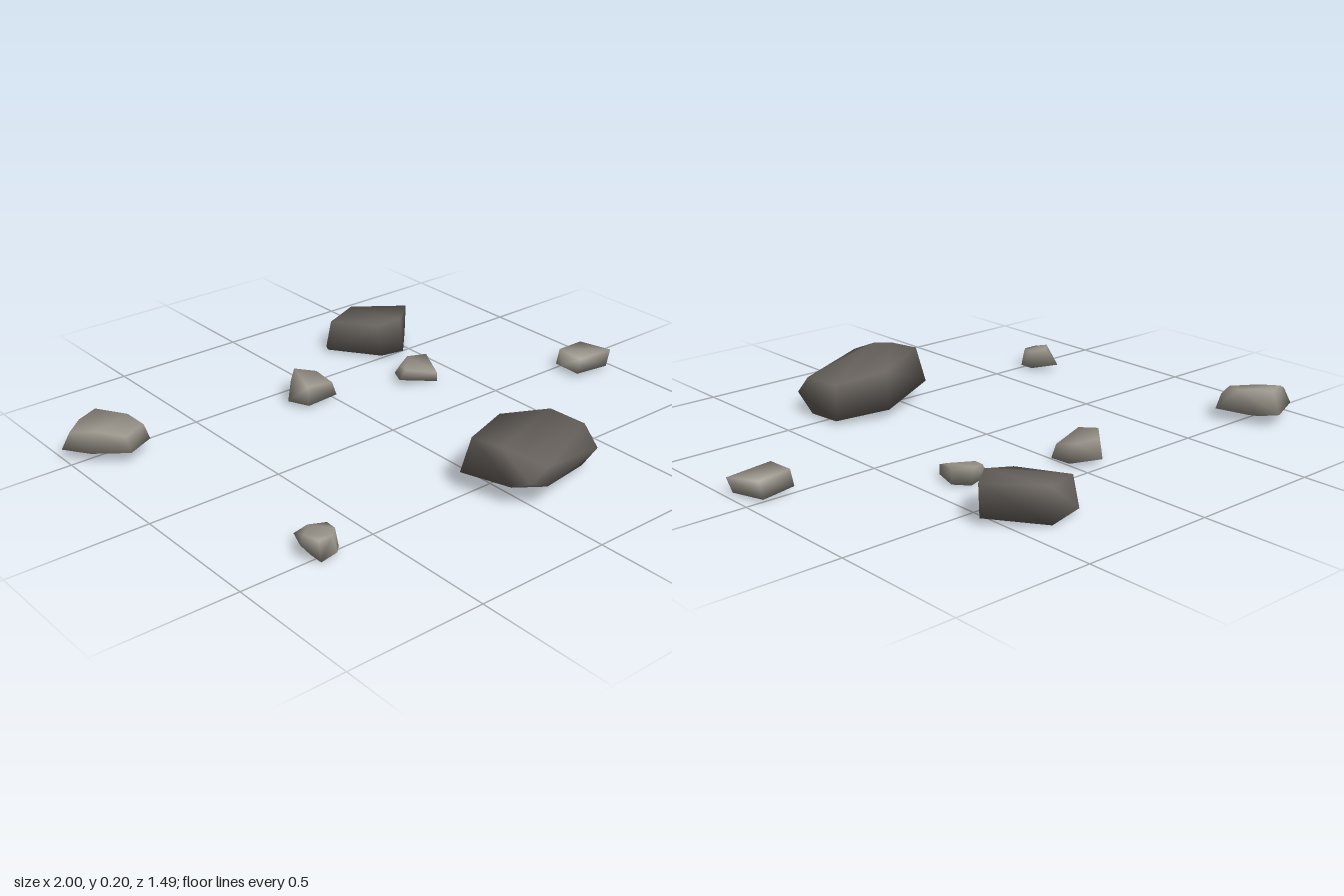
import * as THREE from 'three';
import { ConvexGeometry } from 'three/addons/geometries/ConvexGeometry.js';
import { mergeVertices } from 'three/addons/utils/BufferGeometryUtils.js';

const darkStone = new THREE.MeshStandardMaterial({ color: 0x65605b });
const lightStone = new THREE.MeshStandardMaterial({ color: 0x969187 });
darkStone.name = 'darkStone';
lightStone.name = 'lightStone';

// A chipped rock: the smooth-shaded hull around its corner points [x, y, z]
function rock(name, material, corners) {
  const hull = new ConvexGeometry(corners.map((c) => new THREE.Vector3(...c)));
  hull.deleteAttribute('normal');
  const geometry = mergeVertices(hull, 1e-4);
  geometry.computeVertexNormals();
  const mesh = new THREE.Mesh(geometry, material);
  mesh.name = name;
  return mesh;
}

export function createModel() {
  const group = new THREE.Group();
  group.name = 'scatteredRocks';

  group.add(
    // Large slab, tilted down towards +x
    rock('largeSlab', darkStone, [
      // upper corners
      [-0.08, 0.2, 0.49], [0.14, 0.175, 0.39], [0.335, 0.152, 0.44], [0.345, 0.15, 0.59],
      [-0.01, 0.195, 0.66], [-0.055, 0.2, 0.6], [0.02, 0.16, 0.74],
      // lower corners
      [-0.105, 0.07, 0.465], [0.145, 0.035, 0.37], [0.34, 0.02, 0.43], [0.35, 0.08, 0.65],
      [0.345, 0.015, 0.57], [0.02, 0.09, 0.74], [-0.025, 0.1, 0.71], [-0.06, 0.08, 0.66],
      [0.05, 0.045, 0.66], [0.31, 0.015, 0.62],
    ]),
    // Second dark block at the back
    rock('backBlock', darkStone, [
      [0.26, 0.125, -0.69], [0.4, 0.135, -0.74], [0.56, 0.145, -0.59], [0.46, 0.142, -0.505],
      [0.36, 0.13, -0.53],
      [0.235, 0.015, -0.68], [0.25, 0.015, -0.71], [0.4, 0.012, -0.745], [0.555, 0.03, -0.59],
      [0.445, 0.022, -0.47], [0.36, 0.015, -0.5],
    ]),
    // Pale domed rock at the back left corner
    rock('cornerRock', lightStone, [
      [-0.97, 0.1, -0.55], [-0.92, 0.125, -0.57], [-0.84, 0.13, -0.6], [-0.77, 0.125, -0.5],
      [-0.745, 0.1, -0.44], [-0.84, 0.1, -0.4], [-0.91, 0.11, -0.48],
      [-1, 0.04, -0.56], [-0.83, 0.05, -0.64], [-0.79, 0.04, -0.58], [-0.73, 0.045, -0.43],
      [-0.84, 0.05, -0.37], [-0.94, 0.04, -0.47], [-0.83, 0.015, -0.5],
    ]),
    // Small pale rock behind the middle
    rock('middleRock', lightStone, [
      [-0.15, 0.1, -0.4], [-0.08, 0.1, -0.475], [-0.01, 0.085, -0.43], [0, 0.065, -0.35],
      [-0.125, 0.09, -0.33],
      [-0.165, 0.02, -0.4], [-0.08, 0.03, -0.49], [0.005, 0.015, -0.42], [0.012, 0.015, -0.34],
      [-0.13, 0.02, -0.32],
    ]),
    // Pebble in front of the dark block
    rock('backPebble', lightStone, [
      [0.3, 0.06, -0.315], [0.355, 0.07, -0.34], [0.425, 0.07, -0.31], [0.375, 0.055, -0.22],
      [0.29, 0.055, -0.27],
      [0.25, 0.03, -0.26], [0.285, 0.025, -0.33], [0.36, 0.005, -0.33], [0.41, 0.01, -0.29],
      [0.38, 0.01, -0.195], [0.38, 0.045, -0.195],
    ]),
    // Four-sided rock at the far +x side
    rock('sideRock', lightStone, [
      [0.825, 0.085, 0.01], [0.95, 0.078, 0], [0.997, 0.07, 0.115], [0.825, 0.08, 0.12],
      [0.815, 0.025, 0.005], [0.94, 0.015, -0.005], [0.972, 0.01, 0.12], [0.81, 0.025, 0.122],
      [0.81, 0.03, 0.04],
    ]),
    // Teardrop pebble at the front left
    rock('teardropPebble', lightStone, [
      [-0.745, 0.085, 0.47], [-0.7, 0.085, 0.43], [-0.64, 0.08, 0.45], [-0.64, 0.078, 0.49],
      [-0.67, 0.075, 0.515], [-0.72, 0.075, 0.515],
      [-0.765, 0.06, 0.48], [-0.71, 0.03, 0.37], [-0.635, 0.015, 0.44], [-0.635, 0.015, 0.5],
      [-0.66, 0.015, 0.525], [-0.725, 0.008, 0.53], [-0.735, 0.02, 0.49],
    ]),
  );
  return group;
}
